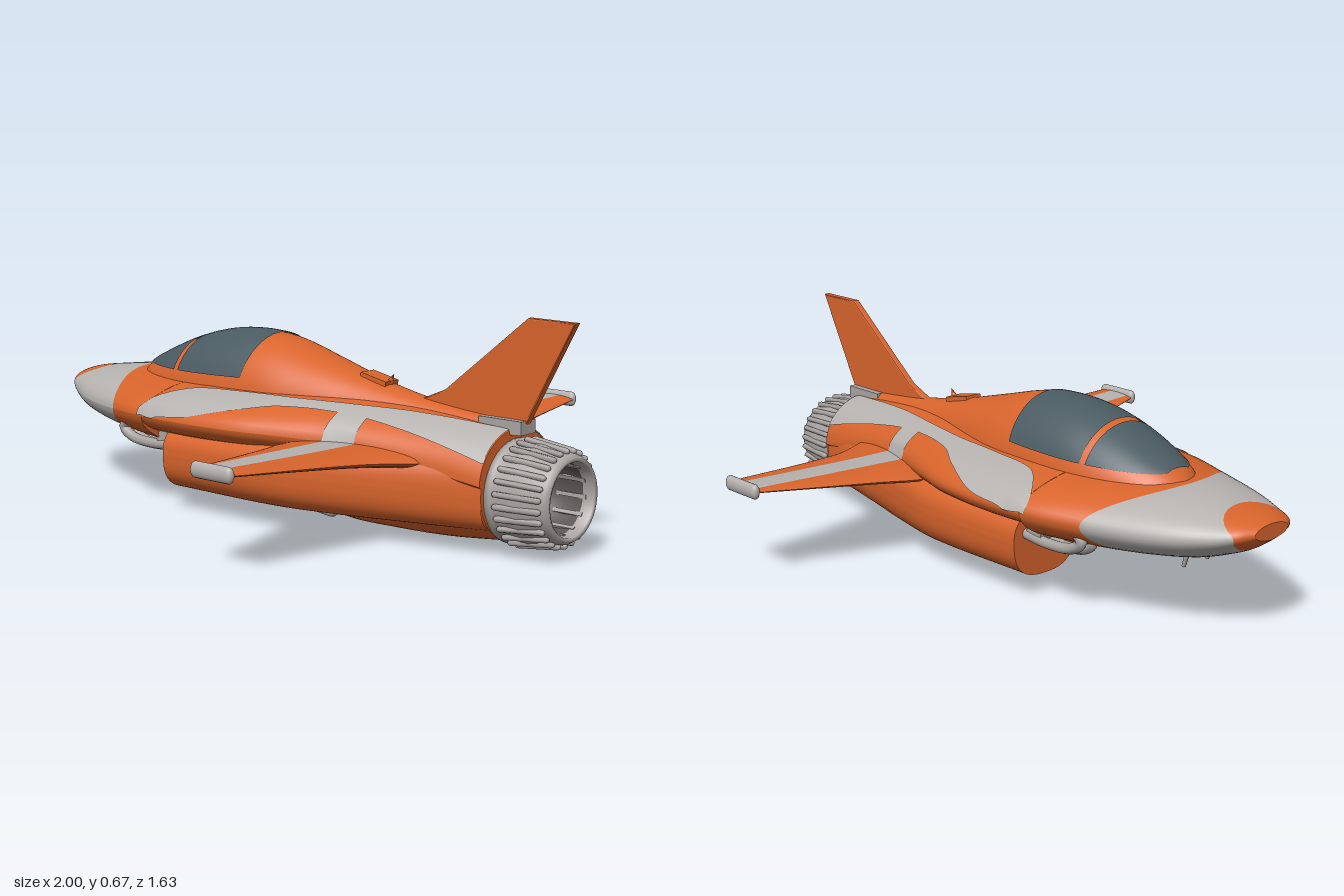
import * as THREE from 'three';

const mat = (name, color) => new THREE.MeshStandardMaterial({ name, color, side: THREE.DoubleSide });
const lerp = THREE.MathUtils.lerp;
const TAU = Math.PI * 2;

// Smooth curve through [x, value] keys
function curve(keys) {
  const slope = (i) => {
    const a = keys[Math.max(i - 1, 0)], b = keys[Math.min(i + 1, keys.length - 1)];
    return (b[1] - a[1]) / (b[0] - a[0]);
  };
  return (x) => {
    if (x <= keys[0][0]) return keys[0][1];
    const i = keys.findIndex((k) => k[0] >= x);
    if (i < 0) return keys[keys.length - 1][1];
    const [xa, ya] = keys[i - 1], [xb, yb] = keys[i], h = xb - xa, t = (x - xa) / h;
    return ya * (1 + 2 * t) * (1 - t) ** 2 + yb * t * t * (3 - 2 * t)
      + h * slope(i - 1) * t * (1 - t) ** 2 - h * slope(i) * t * t * (1 - t);
  };
}

// Grid surface from fn(u, v) -> [x, y, z]
function patch(fn, nu, nv) {
  const pos = [], idx = [];
  for (let i = 0; i <= nu; i++) for (let j = 0; j <= nv; j++) pos.push(...fn(i / nu, j / nv));
  for (let i = 0; i < nu; i++) for (let j = 0; j < nv; j++) {
    const a = i * (nv + 1) + j, b = a + nv + 1;
    idx.push(a, a + 1, b, b, a + 1, b + 1);
  }
  const g = new THREE.BufferGeometry();
  g.setAttribute('position', new THREE.Float32BufferAttribute(pos, 3));
  g.setIndex(idx);
  g.computeVertexNormals();
  return g;
}

// Fuselage-like section: half width w about cz, heights top / mid / bot
const pw = (v, e) => Math.sign(v) * Math.abs(v) ** e;
const section = ({ w, top, mid, bot, cz = () => 0, e = 1, eLow = e }) => (x, a, off = 0) => {
  const c = Math.cos(a), s = Math.sin(a), m = mid(x);
  const y = m + pw(s, e) * (s > 0 ? top(x) - m + off : m - bot(x) + off);
  return [x, y, cz(x) + (w(x) + off) * pw(c, s < 0 ? eLow : e)];
};
const tube = (f, x0, x1, n = 40, a0 = 0, a1 = TAU) =>
  patch((u, v) => { const a = lerp(a0, a1, v); return f(lerp(x0(a), x1(a), u), a); }, n, 56);
const cap = (f, x, cy, cz = 0) => patch((u, v) => {
  const p = f(x, v * TAU);
  return [x, lerp(cy, p[1], u), lerp(cz, p[2], u)];
}, 1, 56);
const at = (x) => () => x;

export function createModel() {
  const root = new THREE.Group();
  root.name = 'jetAircraft';
  const orange = mat('orangePaint', 0xd8642c), grey = mat('greyPaint', 0xb5b2af);
  const glass = mat('canopyGlass', 0x4a5b62), metal = mat('bareMetal', 0xaaa5a2), dark = mat('darkMetal', 0x5a5654);
  const add = (name, geo, m) => {
    const mesh = new THREE.Mesh(geo, m);
    mesh.name = name;
    root.add(mesh);
    return mesh;
  };
  const pair = (name, geo, m) => {
    add(name + 'Left', geo, m);
    add(name + 'Right', geo, m).scale.z = -1;
  };

  // Wide flat hull, with the lower front ending in a step
  const hullW = curve([[-1, .07], [-.97, .115], [-.9, .165], [-.8, .22], [-.59, .3], [-.4, .36], [-.2, .378], [0, .355], [.14, .31], [.3, .255], [.45, .22], [.6, .195], [.8, .172]]);
  const frontBot = curve([[-1, .3], [-.95, .265], [-.9, .24], [-.8, .205], [-.6, .175], [-.37, .16]]);
  const hull = section({
    w: hullW,
    top: curve([[-1, .348], [-.96, .362], [-.9, .372], [-.7, .395], [-.4, .402], [0, .408], [.3, .405], [.6, .385], [.8, .365]]),
    mid: curve([[-1, .325], [-.9, .305], [-.7, .295], [-.4, .305], [0, .305], [.4, .285], [.8, .22]]),
    bot: (x) => (x <= -.37 ? frontBot(x) : .2), eLow: 1.35,
  });
  const tipEdge = (a) => -.965 + (Math.sin(a) > 0 ? .09 : .03) * Math.sin(a) ** 2;
  const noseEdge = (a) => -.56 - .14 * Math.sin(a) ** 2;
  add('noseTip', tube(hull, at(-1), tipEdge, 8), orange);
  add('noseTipCap', cap(hull, -1, .325), orange);
  add('noseBand', tube(hull, tipEdge, noseEdge, 24), grey);
  add('forwardHull', tube(hull, noseEdge, at(-.37), 16), orange);
  add('hullStep', cap(hull, -.37, .29), orange);
  add('rearHull', tube(hull, at(-.369), at(.8)), orange);
  add('hullTailCap', cap(hull, .8, .22), orange);

  // Grey swoosh on each shoulder
  const inner = curve([[-.39, .35], [-.36, .3], [-.27, .225], [-.1, .2], [.1, .175], [.3, .13], [.5, .08], [.8, .03]]);
  const outer = curve([[-.39, .362], [-.3, .374], [-.15, .366], [0, .3], [.1, .24], [.3, .185], [.5, .165], [.8, .155]]);
  const onHull = (x, z) => hull(x, Math.acos(Math.min(z / hullW(x), 1)), .004);
  pair('shoulderStripe', patch((u, v) => {
    const x = lerp(-.39, .8, u);
    return onHull(x, lerp(inner(x), outer(x), v));
  }, 60, 8), grey);
  pair('wingRootStripe', patch((u, v) => {
    const x = lerp(.29, .39, u);
    return onHull(x, lerp(.15, hullW(x), v));
  }, 6, 8), grey);

  // Cockpit hump running back into the spine
  const humpTop = curve([[-.69, .385], [-.65, .42], [-.6, .447], [-.45, .51], [-.32, .545], [-.2, .556], [-.08, .547], [.1, .5], [.3, .448], [.5, .412], [.8, .385]]);
  const hump = section({
    w: curve([[-.69, .02], [-.66, .08], [-.6, .125], [-.45, .172], [-.3, .19], [-.05, .185], [.1, .155], [.3, .1], [.5, .06], [.8, .035]]),
    top: humpTop, mid: at(.35), bot: at(.34),
  });
  add('cockpitSpine', tube(hump, at(-.69), at(.82), 60, 0, Math.PI), orange);
  [['windshield', -.645, -.43, 0], ['canopy', -.41, -.11, .02]].forEach(([name, x0, x1, slant]) =>
    add(name, patch((u, v) => {
      const x = lerp(x0, x1, u), sill = .415 + .012 * (x + .65) * 2;
      const a = Math.asin(Math.min((sill - .35) / (humpTop(x) - .35), 1));
      const ang = lerp(a, Math.PI - a, v);
      return hump(x - slant * u * (1 - Math.sin(ang)), ang, .004);
    }, 16, 28), glass));

  // Side nacelles blending into the central engine housing
  const nacelle = section({
    cz: curve([[-.31, .205], [.1, .195], [.3, .165], [.5, .125], [.8, .075]]),
    w: curve([[-.31, .125], [.1, .13], [.3, .12], [.5, .11], [.8, .09]]),
    top: curve([[-.31, .278], [.1, .285], [.8, .3]]), mid: at(.185),
    bot: curve([[-.31, .07], [.1, .068], [.4, .07], [.8, .08]]), e: .75,
  });
  pair('nacelle', tube(nacelle, at(-.31), at(.8)), orange);
  pair('nacelleFront', cap(nacelle, -.31, .18, .205), orange);
  const housing = section({
    w: curve([[.05, .09], [.2, .15], [.5, .175], [.8, .165]]),
    top: at(.35), mid: at(.19),
    bot: curve([[.05, .075], [.12, .045], [.2, .014], [.4, .012], [.6, .02], [.8, .04]]),
  });
  add('engineHousing', tube(housing, at(.05), at(.8)), orange);
  add('housingFront', cap(housing, .05, .19), orange);
  add('housingRear', cap(housing, .8, .19), orange);

  // Wings, split along the chord into paint bands
  const wing = new THREE.Group();
  const lead = curve([[.1, .13], [.32, .16], [.4, .19], [.81, .31]]);
  const trail = curve([[.1, .66], [.2, .6], [.35, .525], [.81, .45]]);
  const bandA = (z) => lerp(.28, .325, z / .81), bandB = (z) => lerp(.39, .4, z / .81);
  [['wingFront', lead, bandA, orange], ['wingStripe', bandA, bandB, grey], ['wingRear', bandB, trail, orange]].forEach(([name, f0, f1, m]) =>
    [1, -1].forEach((side) => {
      pair(name + (side > 0 ? 'Top' : 'Under'), patch((u, v) => {
        const z = lerp(.1, .8, u), x = lerp(f0(z), f1(z), v);
        const t = THREE.MathUtils.clamp((x - lead(z)) / (trail(z) - lead(z)), 0, 1);
        const half = lerp(.042, .011, u ** .7) * Math.sqrt(Math.max(Math.sin(Math.PI * t), 0));
        return [x, lerp(.258, .303, u) + side * half, z];
      }, 20, 12), m);
    }));
  const pod = new THREE.CapsuleGeometry(.016, .125, 6, 12).rotateZ(Math.PI / 2).scale(1, 1.5, .9).translate(.378, .303, .8);
  pair('wingTip', pod, grey);

  // Tail fin
  const fin = new THREE.Shape([[.44, .4], [.55, .445], [.84, .68], [.995, .68], [.83, .37], [.5, .37]].map((p) => new THREE.Vector2(...p)));
  add('tailFin', new THREE.ExtrudeGeometry(fin, { depth: .014, bevelEnabled: true, bevelThickness: .005, bevelSize: .004, bevelSegments: 2 }).translate(0, 0, -.007), orange);
  add('finRootBlock', new THREE.BoxGeometry(.15, .04, .07).translate(.765, .372, 0), metal);
  add('spineAntenna', new THREE.ConeGeometry(.018, .05, 8).rotateZ(-.5).translate(.335, .45, 0), orange);
  add('spineVent', new THREE.BoxGeometry(.1, .016, .06).rotateZ(-.2).translate(.29, .452, 0), orange);

  // Ribbed exhaust nozzle, open at the back
  const cy = .185;
  const lathe = (pts) => new THREE.LatheGeometry(pts.map((p) => new THREE.Vector2(...p)), 48).rotateZ(-Math.PI / 2).translate(0, cy, 0);
  add('nozzleShell', lathe([[.13, .79], [.152, .8], [.155, .82], [.144, .83], [.148, .9], [.128, .985], [.12, .998], [.108, .995], [.105, .96]]), metal);
  add('nozzleLiner', lathe([[.105, .96], [.112, .9], [.1, .85]]), dark);
  add('nozzleBack', lathe([[.1, .85], [.055, .86], [.04, .88], [0, .885]]), dark);
  for (let i = 0; i < 26; i++) {
    const a = i / 26 * TAU;
    const rib = new THREE.CapsuleGeometry(.0095, .135, 3, 6).rotateZ(Math.PI / 2 - .12).translate(.905, .144, 0).rotateX(a).translate(0, cy, 0);
    add('nozzleRib', rib, metal);
    if (i % 2) add('linerRib', new THREE.BoxGeometry(.1, .008, .012).translate(.92, .107, 0).rotateX(a).translate(0, cy, 0), metal);
  }

  // Looped pipes ahead of the nacelles
  [[.235, 0], [.28, .012]].forEach(([z, dy]) => {
    const path = new THREE.CatmullRomCurve3([[-.29, .2], [-.4, .19], [-.5, .2], [-.54, .228], [-.5, .258], [-.4, .255], [-.33, .25], [-.29, .24]]
      .map(([x, y]) => new THREE.Vector3(x, y + dy, z)));
    pair('intakePipe', new THREE.TubeGeometry(path, 40, .017, 8), metal);
  });
  pair('pipeCollar', new THREE.CylinderGeometry(.03, .03, .07, 12).rotateX(Math.PI / 2).translate(-.35, .222, .255), metal);

  // Belly tubes between the nacelles
  for (let i = -2; i <= 2; i++)
    add('bellyTube', new THREE.CapsuleGeometry(.02, .1, 4, 10).rotateZ(Math.PI / 2 - .12).translate(.115, .043, i * .036), metal);

  // Small probes under the nose
  [-.05, .05].forEach((z) => add('noseProbe', new THREE.CylinderGeometry(.008, .006, .05, 8).rotateZ(.3).translate(-.73, .185, z), metal));
  return root;
}
